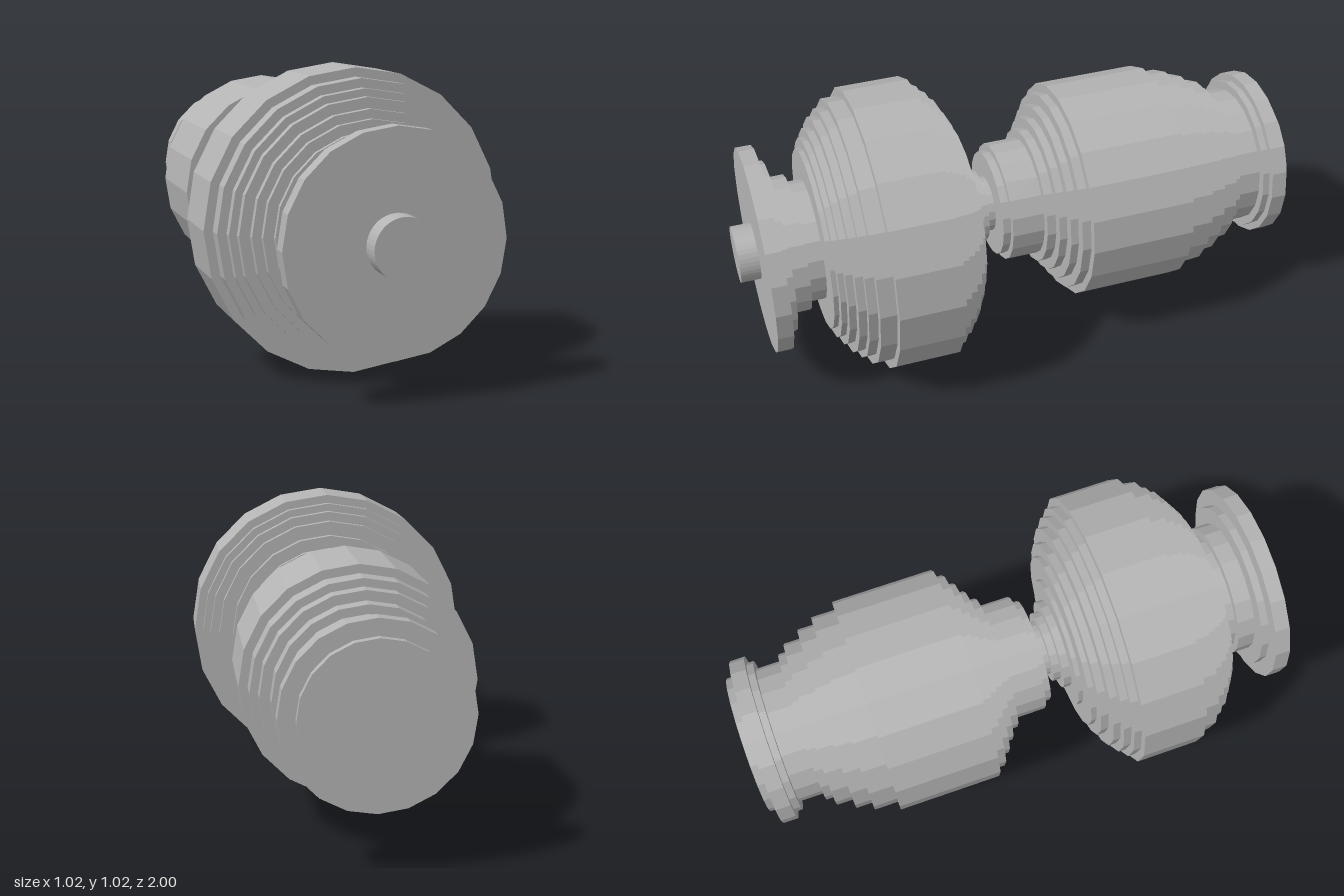
import * as THREE from 'three';

const AXIS_HEIGHT = 0.51;
const SIDES = 20;

// Each part: name, then steps of [front end z, radius], running from back to front
const PARTS = [
  ['rearCollar', [[-0.97, 0.25], [-0.915, 0.305], [-0.89, 0.28]]],
  ['rearNeck', [[-0.8, 0.25]]],
  ['rearBarrel', [
    [-0.77, 0.275], [-0.708, 0.305], [-0.648, 0.338], [-0.56, 0.365], [-0.185, 0.395],
    [-0.153, 0.365], [-0.125, 0.325], [-0.097, 0.285], [-0.065, 0.247],
  ]],
  ['waistCollar', [[0.052, 0.215], [0.08, 0.19]]],
  ['waist', [[0.112, 0.1], [0.14, 0.13], [0.168, 0.165]]],
  ['frontBulge', [
    [0.185, 0.24], [0.205, 0.325], [0.233, 0.37], [0.26, 0.42], [0.288, 0.453], [0.316, 0.48],
    [0.547, 0.51],
    [0.605, 0.48], [0.637, 0.45], [0.665, 0.425], [0.69, 0.39], [0.71, 0.36], [0.727, 0.325],
  ]],
  ['frontNeck', [[0.785, 0.215], [0.848, 0.243]]],
  ['frontDisc', [[0.875, 0.305], [0.93, 0.365]]],
];

export function createModel() {
  const model = new THREE.Group();
  model.name = 'turnedSpindle';
  const grey = new THREE.MeshStandardMaterial({ color: 0xb4b4b4, flatShading: true });
  grey.name = 'plain grey';

  // Lathe outlines lie along y; this turns them to run along z
  const add = (name, geometry) => {
    geometry.rotateX(Math.PI / 2);
    const mesh = new THREE.Mesh(geometry, grey);
    mesh.name = name;
    mesh.position.y = AXIS_HEIGHT;
    model.add(mesh);
    return mesh;
  };

  // Stepped parts, each starting at the radius where the last one stopped
  let z = -1;
  let radius = 0;
  PARTS.forEach(([name, steps], i) => {
    const profile = [new THREE.Vector2(radius, z)];
    for (const [end, r] of steps) {
      profile.push(new THREE.Vector2(r, z), new THREE.Vector2(r, end));
      z = end;
      radius = r;
    }
    if (i === PARTS.length - 1) profile.push(new THREE.Vector2(0, z));
    add(name, new THREE.LatheGeometry(profile, SIDES));
  });

  // Round peg on the front face
  add('frontPeg', new THREE.CylinderGeometry(0.1, 0.1, 0.07, 40)).position.z = 0.965;

  return model;
}
